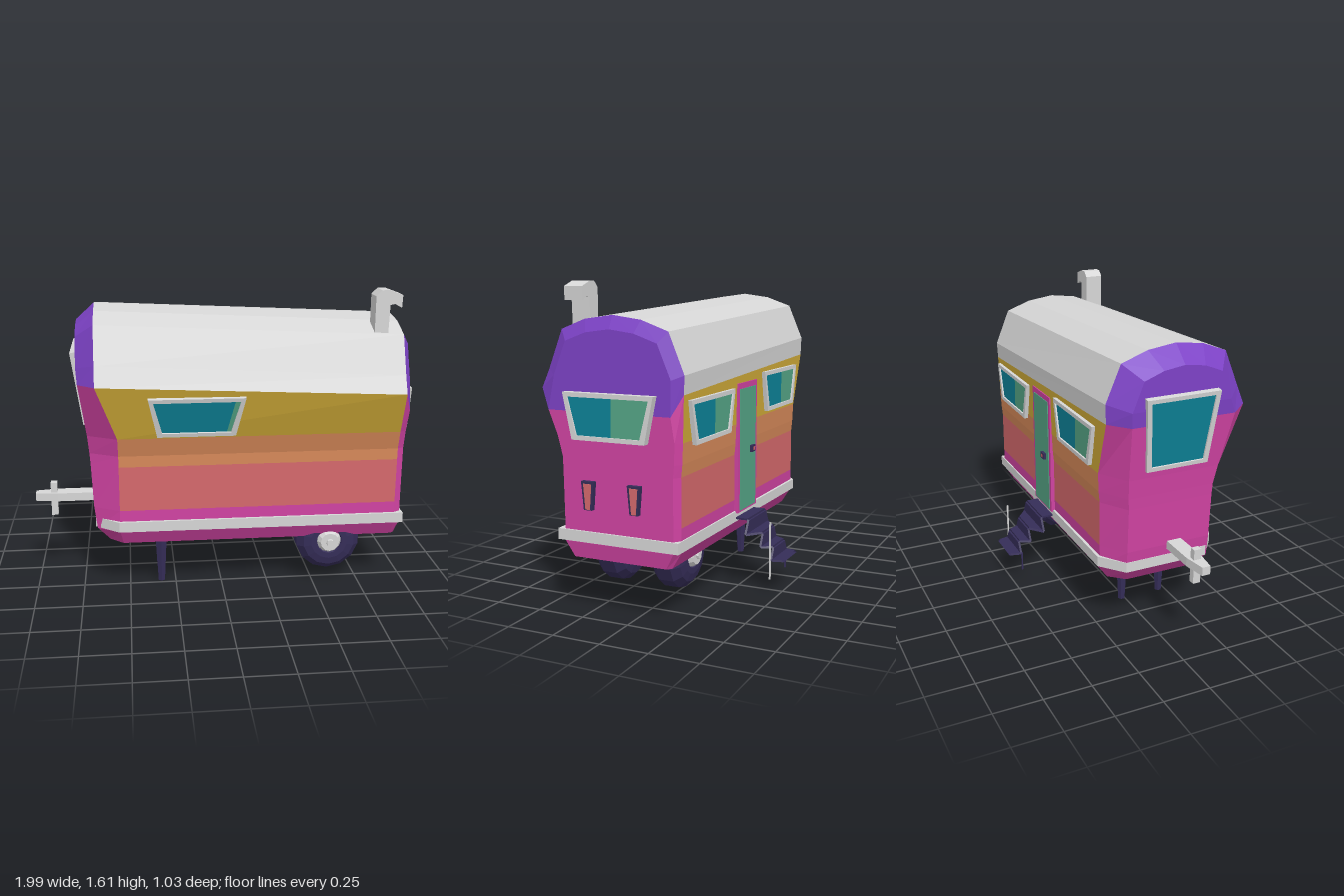
import * as THREE from 'three';

const mat = (name, color) => new THREE.MeshStandardMaterial({ name, color, flatShading: true, side: THREE.DoubleSide });
const M = {
  grey: mat('light grey', 0xd6d6d6), gold: mat('gold', 0xcfaa38), orange: mat('orange', 0xd88a5a),
  salmon: mat('salmon', 0xd5696c), pink: mat('pink', 0xd043a2), purple: mat('purple', 0x7d42c6),
  teal: mat('teal', 0x0d8398), green: mat('sea green', 0x55a586), navy: mat('navy', 0x352d58),
};

function add(parent, name, geo, material, x = 0, y = 0, z = 0) {
  const m = new THREE.Mesh(geo, material);
  m.name = name;
  m.position.set(x, y, z);
  parent.add(m);
  return m;
}
const poly = pts => new THREE.Shape(pts.map(p => new THREE.Vector2(p[0], p[1])));
const extrude = (shape, depth) => new THREE.ExtrudeGeometry(shape, { depth, bevelEnabled: false });
const trap = (wt, wb, h) => [[-wb / 2, -h / 2], [wb / 2, -h / 2], [wt / 2, h / 2], [-wt / 2, h / 2]];

// Body shell: cross-sections lofted along x, one mesh per colour
function body(root) {
  // z, y at nose end, y at tail end, x of nose corner, x of nose face
  const P = [
    [0.34, 0.28, 0.28, -0.53, -0.60], [0.385, 0.36, 0.36, -0.545, -0.665], [0.385, 0.48, 0.48, -0.545, -0.68],
    [0.388, 0.72, 0.72, -0.545, -0.69], [0.39, 0.78, 0.78, -0.545, -0.694], [0.418, 0.88, 0.88, -0.547, -0.702],
    [0.5, 1.17, 1.10, -0.65, -0.738], [0.458, 1.27, 1.19, -0.65, -0.745], [0.38, 1.46, 1.385, -0.65, -0.745],
    [0.25, 1.51, 1.435, -0.65, -0.745], [0.1, 1.53, 1.455, -0.65, -0.745], [-0.05, 1.51, 1.435, -0.65, -0.745],
    [-0.19, 1.46, 1.385, -0.65, -0.745], [-0.27, 1.27, 1.19, -0.65, -0.745], [-0.266, 1.17, 1.10, -0.65, -0.738],
    [-0.26, 0.88, 0.88, -0.547, -0.702], [-0.256, 0.78, 0.78, -0.545, -0.694], [-0.25, 0.72, 0.72, -0.545, -0.69],
    [-0.25, 0.48, 0.48, -0.545, -0.68], [-0.248, 0.36, 0.36, -0.545, -0.665], [-0.2, 0.28, 0.28, -0.53, -0.60],
  ];
  const inset = (v, c, s) => c + (v - c) * s;
  const rings = [
    P.map(p => [p[4], p[1] > 1 ? inset(p[1], 1.14, 0.78) : p[1], inset(p[0], 0.1, 0.74)]),
    P.map(p => [p[3], p[1], p[0]]),
    P.map(p => [0.92, p[2], p[0]]),
    P.map((p, i) => [i % 20 ? 0.955 : 0.94, p[1] === 1.17 ? 1.0 : p[1] > 1 ? inset(p[2], 1.05, 0.84) : p[2],
      inset(p[0], 0.1, p[1] > 1 ? 0.86 : 0.93)]),
  ];
  const bands = ['pink', 'pink', 'salmon', 'orange', 'orange', 'gold', 'grey', 'grey', 'grey', 'grey'];
  const tris = {};
  const quad = (key, a, b, c, d) => (tris[key] ??= []).push(...a, ...b, ...c, ...a, ...c, ...d);
  const endColour = k => (k < 6 ? 'pink' : 'purple');
  for (let r = 0; r < 3; r++) {
    for (let i = 0; i < 21; i++) {
      const j = (i + 1) % 21, k = Math.min(i, 19 - i);
      const key = i === 20 ? 'navy' : r === 1 ? bands[k] : endColour(k);
      quad(key, rings[r][i], rings[r + 1][i], rings[r + 1][j], rings[r][j]);
    }
  }
  // nose and tail faces
  const [A, , , D] = rings;
  for (let i = 0; i < 10; i++) {
    quad(endColour(i), A[20 - i], A[i], A[i + 1], A[19 - i]);
    quad(endColour(i), D[i], D[20 - i], D[19 - i], D[i + 1]);
  }
  const names = { pink: 'lowerShell', salmon: 'salmonBand', orange: 'orangeBand', gold: 'goldBand', grey: 'roof', purple: 'endCaps', navy: 'underside' };
  for (const key in tris) {
    const g = new THREE.BufferGeometry();
    g.setAttribute('position', new THREE.Float32BufferAttribute(tris[key], 3));
    g.computeVertexNormals();
    add(root, names[key], g, M[key]);
  }
}

// Tapered window: raised frame with two panes, split at a fraction of the width
function windowUnit(root, name, [wt, wb, h], depth, split, pos, ry, rx = 0) {
  const g = new THREE.Group();
  g.name = name;
  const frame = poly(trap(wt, wb, h)), b = 0.05;
  const [p, q, r, s] = trap(wt - b, wb - b, h - b * 0.85);
  frame.holes.push(poly([p, s, r, q]));
  add(g, 'frame', extrude(frame, depth), M.grey);
  const mix = (a, c) => [a[0] + (c[0] - a[0]) * split, a[1]];
  const glassZ = Math.max(depth - 0.009, 0.008);
  add(g, 'pane', new THREE.ShapeGeometry(poly([p, mix(p, q), mix(s, r), s])), M.teal, 0, 0, glassZ);
  if (split < 1) add(g, 'paleGlassPane', new THREE.ShapeGeometry(poly([mix(p, q), q, r, mix(s, r)])), M.green, 0, 0, glassZ);
  g.position.set(...pos);
  g.rotation.set(rx, ry, 0, 'YXZ');
  root.add(g);
}

function wheel(root, name, z, side) {
  const g = new THREE.Group();
  g.name = name;
  const prof = [[0, -0.07], [0.1, -0.088], [0.14, -0.078], [0.175, -0.04], [0.175, 0.04], [0.14, 0.078], [0.1, 0.088], [0.07, 0.088], [0.06, 0.07], [0, 0.07]];
  add(g, 'tyre', new THREE.LatheGeometry(prof.map(p => new THREE.Vector2(...p)).reverse(), 14), M.navy);
  add(g, 'hub', new THREE.CylinderGeometry(0.05, 0.068, 0.03, 12), M.grey, 0, 0.092, 0);
  add(g, 'hubCap', new THREE.CylinderGeometry(0.018, 0.022, 0.02, 8), M.grey, 0, 0.11, 0);
  g.rotation.x = side * Math.PI / 2;
  g.position.set(0.58, 0.25, z);
  root.add(g);
}

// Folding steps: one zigzag sheet with varying half-width
function steps(root) {
  const path = [[-0.25, 0.388, 0.12], [-0.325, 0.388, 0.12], [-0.325, 0.315, 0.16], [-0.39, 0.315, 0.08],
    [-0.39, 0.245, 0.115], [-0.45, 0.245, 0.08], [-0.45, 0.182, 0.115], [-0.51, 0.182, 0.1]];
  const pos = [], cx = 0.19;
  const push = (p, s, dy) => pos.push(cx + s * p[2], p[1] + dy, p[0] + dy);
  for (let i = 0; i < path.length - 1; i++) {
    const a = path[i], b = path[i + 1];
    for (const dy of [0, -0.01]) {
      const s = dy ? -1 : 1;
      push(a, s, dy); push(b, s, dy); push(b, -s, dy);
      push(a, s, dy); push(b, -s, dy); push(a, -s, dy);
    }
    for (const s of [1, -1]) {
      const [m, n] = s > 0 ? [b, a] : [a, b];
      push(m, s, 0); push(n, s, 0); push(n, s, -0.01);
      push(m, s, 0); push(n, s, -0.01); push(m, s, -0.01);
    }
  }
  const g = new THREE.BufferGeometry();
  g.setAttribute('position', new THREE.Float32BufferAttribute(pos, 3));
  g.computeVertexNormals();
  add(root, 'steps', g, M.navy);
  add(root, 'handrail', new THREE.BoxGeometry(0.008, 0.305, 0.008), M.grey, 0.305, 0.228, -0.45);
  add(root, 'stepProp', new THREE.BoxGeometry(0.008, 0.108, 0.008), M.navy, 0.078, 0.129, -0.45);
}

export function createModel() {
  const root = new THREE.Group();
  root.name = 'caravan';
  body(root);

  // bumper trim around the body
  const trim = extrude(poly([[0.965, -0.4], [0.965, 0.255], [-0.55, 0.265], [-0.675, 0.16], [-0.675, -0.3], [-0.55, -0.4]]), 0.055);
  add(root, 'bumperTrim', trim.rotateX(-Math.PI / 2), M.grey, 0, 0.365, 0);

  // windows
  windowUnit(root, 'sideWindow', [0.49, 0.4, 0.22], 0.025, 0.94, [-0.145, 1.005, 0.452], 0, 0.28);
  windowUnit(root, 'doorSideRearWindow', [0.5, 0.4, 0.215], 0.022, 0.56, [0.625, 0.965, -0.262], Math.PI);
  windowUnit(root, 'doorSideFrontWindow', [0.5, 0.4, 0.22], 0.022, 0.56, [-0.275, 1.01, -0.262], Math.PI);
  windowUnit(root, 'tailWindow', [0.485, 0.39, 0.225], 0.038, 0.54, [0.955, 0.982, 0.097], Math.PI / 2);
  windowUnit(root, 'noseWindow', [0.4, 0.34, 0.39], 0.035, 1, [-0.714, 1.115, 0.09], -Math.PI / 2, 0.14);

  // door with frame and handle
  add(root, 'doorFrame', new THREE.BoxGeometry(0.25, 0.68, 0.03), M.pink, 0.185, 0.75, -0.256);
  add(root, 'door', new THREE.BoxGeometry(0.205, 0.64, 0.012), M.green, 0.185, 0.74, -0.269);
  add(root, 'doorHandle', new THREE.BoxGeometry(0.045, 0.035, 0.02), M.navy, 0.14, 0.73, -0.28);
  add(root, 'doorHandleCentre', new THREE.BoxGeometry(0.022, 0.018, 0.008), M.salmon, 0.14, 0.73, -0.288);
  steps(root);

  // tail lights
  for (const z of [0.22, -0.03]) {
    const lamp = new THREE.Group();
    lamp.name = 'tailLight';
    add(lamp, 'housing', extrude(poly(trap(0.07, 0.045, 0.14)), 0.025), M.navy);
    add(lamp, 'lens', extrude(poly(trap(0.044, 0.024, 0.125)), 0.006), M.salmon, 0, -0.004, 0.022);
    lamp.rotation.y = Math.PI / 2;
    lamp.position.set(0.953, 0.6, z);
    root.add(lamp);
  }

  // chimney with a bent cowl
  const flue = poly([[0.77, 1.38], [0.84, 1.38], [0.845, 1.535], [0.87, 1.54], [0.905, 1.52], [0.908, 1.585], [0.84, 1.61], [0.8, 1.61], [0.77, 1.58]]);
  add(root, 'chimney', extrude(flue, 0.1), M.grey, 0, 0, 0.27);

  // hitch bar and jockey stand
  const bar = extrude(poly([[-0.66, -0.145], [-0.66, -0.065], [-0.88, -0.065], [-1, -0.085], [-1, -0.13], [-0.88, -0.145]]), 0.045);
  add(root, 'hitchBar', bar.rotateX(-Math.PI / 2), M.grey, 0, 0.455, 0);
  add(root, 'jockeyStand', new THREE.BoxGeometry(0.034, 0.185, 0.04), M.grey, -0.902, 0.462, 0.105);

  // wheels and support legs
  wheel(root, 'leftWheel', 0.263, 1);
  wheel(root, 'rightWheel', -0.06, -1);
  for (const z of [0.215, -0.015]) {
    add(root, 'supportLeg', new THREE.CylinderGeometry(0.037, 0.02, 0.3, 6), M.navy, -0.328, 0.15, z);
  }
  return root;
}
